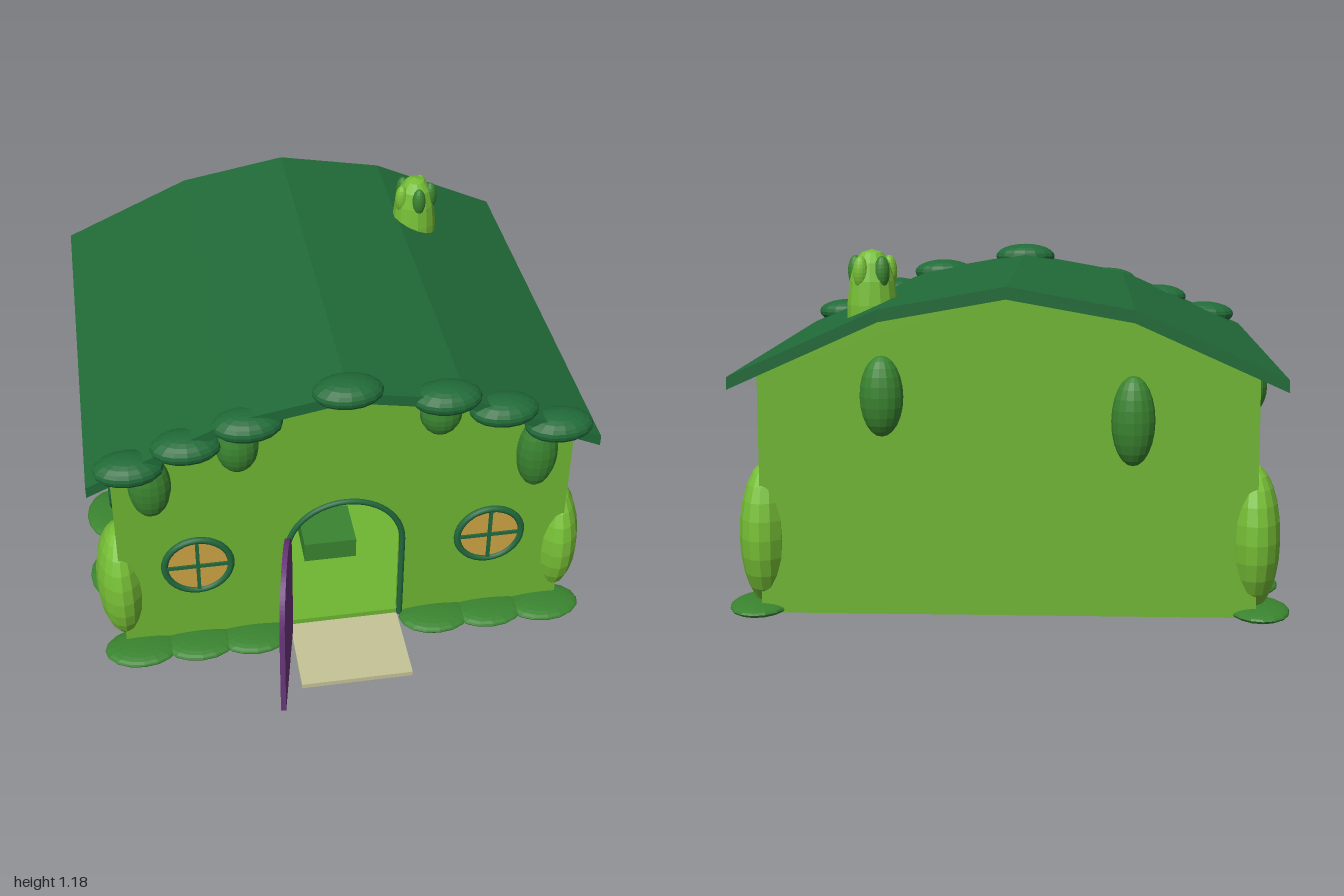
import * as THREE from 'three';

const mat = (name, color, flatShading = false) => {
  const m = new THREE.MeshStandardMaterial({ color, flatShading });
  m.name = name;
  return m;
};

export function createModel() {
  const house = new THREE.Group();
  house.name = 'cottage';

  const wallGreen = mat('wall green', 0x6fb533);
  const roofGreen = mat('roof green', 0x216b38);
  const mossGreen = mat('moss green', 0x216b38, true);
  const bushGreen = mat('bush green', 0x76be36, true);
  const leafGreen = mat('leaf green', 0x3a8430, true);
  const trimGreen = mat('trim green', 0x22693c);
  const amber = mat('window amber', 0xcca244);
  const purple = mat('door purple', 0x683579);
  const cream = mat('doorstep cream', 0xc6c397);

  const add = (name, geo, material, x = 0, y = 0, z = 0, parent = house) => {
    const m = new THREE.Mesh(geo, material);
    m.name = name;
    m.position.set(x, y, z);
    parent.add(m);
    return m;
  };
  const box = (w, h, d) => new THREE.BoxGeometry(w, h, d);
  const extrude = (shape, depth) =>
    new THREE.ExtrudeGeometry(shape, { depth, bevelEnabled: false, curveSegments: 20 });
  const ball = new THREE.SphereGeometry(1, 16, 12);
  const blob = (name, material, [x, y, z], [rx, ry, rz], parent = house) => {
    const m = add(name, ball, material, x, y, z, parent);
    m.scale.set(rx, ry, rz);
    return m;
  };
  const poly = (pts) => new THREE.Shape(pts.map(([x, y]) => new THREE.Vector2(x, y)));

  // Walls: gabled front with an arched doorway, gabled back, two sides, floor
  const gable = [[0.8, 0.8], [0.4, 0.99], [0, 1.065], [-0.4, 0.99], [-0.8, 0.8]];
  const front = new THREE.Shape();
  front.moveTo(0.2, 0.02);
  front.lineTo(0.8, 0.02);
  gable.forEach(([x, y]) => front.lineTo(x, y));
  front.lineTo(-0.8, 0.02);
  front.lineTo(-0.2, 0.02);
  front.lineTo(-0.2, 0.4);
  front.absarc(0, 0.4, 0.2, Math.PI, 0, true);
  front.lineTo(0.2, 0.02);
  add('frontWall', extrude(front, 0.03), wallGreen, 0, 0, 0.56);
  add('backWall', extrude(poly([[-0.8, 0.02], [0.8, 0.02], ...gable]), 0.03), wallGreen, 0, 0, -0.915);
  for (const s of [-1, 1]) add('sideWall', box(0.03, 0.78, 1.45), wallGreen, s * 0.785, 0.41, -0.162);
  add('floor', box(1.58, 0.02, 1.49), wallGreen, 0, 0.031, -0.163);
  add('innerBench', box(0.2, 0.085, 0.2), leafGreen, 0, 0.0835, 0.18);

  // Roof: folded slab, slightly lower at the back
  const ridge = [[0.88, 0.813], [0.4, 1.028], [0, 1.1], [-0.4, 1.028], [-0.88, 0.813]];
  const under = ridge.map(([x, y]) => [x, y - 0.04]).reverse();
  const roofGeo = extrude(poly([...ridge, ...under]), 1.63);
  roofGeo.translate(0, 0, -0.815);
  add('roof', roofGeo, roofGreen, 0, 0, -0.17).rotation.x = -0.012;

  // Moss clumps along the front roof edge
  const moss = [[-0.735, 0.865], [-0.54, 0.935], [-0.335, 1.003], [0, 1.1], [0.335, 1.035], [0.535, 0.96], [0.735, 0.87]];
  for (const [x, y] of moss) blob('roofMoss', mossGreen, [x, y, 0.605], [0.12, 0.05, 0.08]);

  // Chimney with leafy knobs
  const chimney = new THREE.Group();
  chimney.name = 'chimney';
  chimney.position.set(0.47, 0, -0.585);
  house.add(chimney);
  const stack = [[0.085, 0.93], [0.085, 1.0], [0.076, 1.08], [0.06, 1.14], [0.035, 1.175], [0, 1.185]];
  add('chimneyStack', new THREE.LatheGeometry(stack.map(([r, y]) => new THREE.Vector2(r, y)), 14), bushGreen, 0, 0, 0, chimney);
  for (let i = 0; i < 5; i++) {
    const a = i * Math.PI * 0.4 + 1.5;
    blob('chimneyLeaf', i % 2 ? bushGreen : leafGreen,
      [Math.cos(a) * 0.06, 1.11, Math.sin(a) * 0.06], [0.026, 0.055, 0.026], chimney);
  }

  // Round windows with ring and crossbars
  const roundWindow = (x, y, z, turn, r) => {
    const g = new THREE.Group();
    g.name = 'roundWindow';
    g.position.set(x, y, z);
    g.rotation.y = turn;
    house.add(g);
    const disc = new THREE.CylinderGeometry(r - 0.01, r - 0.01, 0.008, 32);
    disc.rotateX(Math.PI / 2);
    add('windowPane', disc, amber, 0, 0, 0.003, g);
    add('windowRing', new THREE.TorusGeometry(r - 0.013, 0.013, 8, 32), trimGreen, 0, 0, 0.004, g);
    add('windowBarAcross', box(2 * r - 0.03, 0.013, 0.014), trimGreen, 0, 0, 0.007, g);
    add('windowBarUpright', box(0.013, 2 * r - 0.03, 0.014), trimGreen, 0, 0, 0.007, g);
  };
  for (const s of [-1, 1]) {
    roundWindow(s * 0.525, 0.385, 0.59, 0, 0.13);
    roundWindow(s * 0.8, 0.385, 0.055, s * Math.PI / 2, 0.13);
  }

  // Door frame, open door and step
  add('doorArch', new THREE.TorusGeometry(0.207, 0.011, 8, 28, Math.PI), trimGreen, 0, 0.4, 0.592);
  for (const s of [-1, 1])
    add('doorPost', new THREE.CylinderGeometry(0.011, 0.011, 0.37, 8), trimGreen, s * 0.207, 0.215, 0.592);
  const leaf = new THREE.Shape();
  leaf.moveTo(0, 0.035);
  leaf.lineTo(0.395, 0.035);
  leaf.lineTo(0.395, 0.395);
  leaf.absarc(0.1975, 0.395, 0.1975, 0, Math.PI, false);
  leaf.lineTo(0, 0.035);
  const doorGeo = extrude(leaf, 0.018);
  doorGeo.translate(0, 0, -0.009);
  add('door', doorGeo, purple, -0.202, 0, 0.612).rotation.y = -Math.PI / 2 - 0.205;
  add('doorstep', box(0.4, 0.018, 0.3), cream, 0, 0.012, 0.73);

  // Tall bushes against the walls
  for (const [x, z] of [[0.795, 0.485], [0.795, -0.2], [0.795, -0.81], [-0.795, 0.485], [-0.795, -0.81]])
    blob('bush', bushGreen, [x, 0.265, z], [0.09, 0.24, 0.155]);

  // Low ground leaves along the front and sides
  for (const s of [-1, 1]) {
    for (const x of [0.335, 0.535, 0.745])
      blob('groundLeaf', leafGreen, [s * x, 0.03, 0.62], [0.135, 0.024, 0.095]);
    for (const z of [0.22, -0.12, -0.52, -0.85])
      blob('groundLeaf', leafGreen, [s * 0.815, 0.03, z], [0.1, 0.024, 0.145]);
  }

  // Hanging leaves under the eaves: position, then radii
  const hanging = [
    [[-0.67, 0.775, 0.595], [0.073, 0.13, 0.06]],
    [[-0.37, 0.91, 0.595], [0.073, 0.105, 0.06]],
    [[0.32, 0.97, 0.595], [0.073, 0.09, 0.06]],
    [[0.67, 0.755, 0.595], [0.073, 0.15, 0.06]],
    [[0.81, 0.63, 0.157], [0.065, 0.165, 0.065]],
    [[0.81, 0.695, -0.468], [0.065, 0.1, 0.067]],
    [[-0.81, 0.66, 0.18], [0.07, 0.145, 0.065]],
    [[-0.81, 0.71, -0.45], [0.065, 0.1, 0.067]],
    [[0.4, 0.735, -0.92], [0.07, 0.13, 0.06]],
    [[-0.4, 0.66, -0.92], [0.07, 0.145, 0.06]],
  ];
  for (const [p, r] of hanging) blob('hangingLeaf', leafGreen, p, r);

  return house;
}
